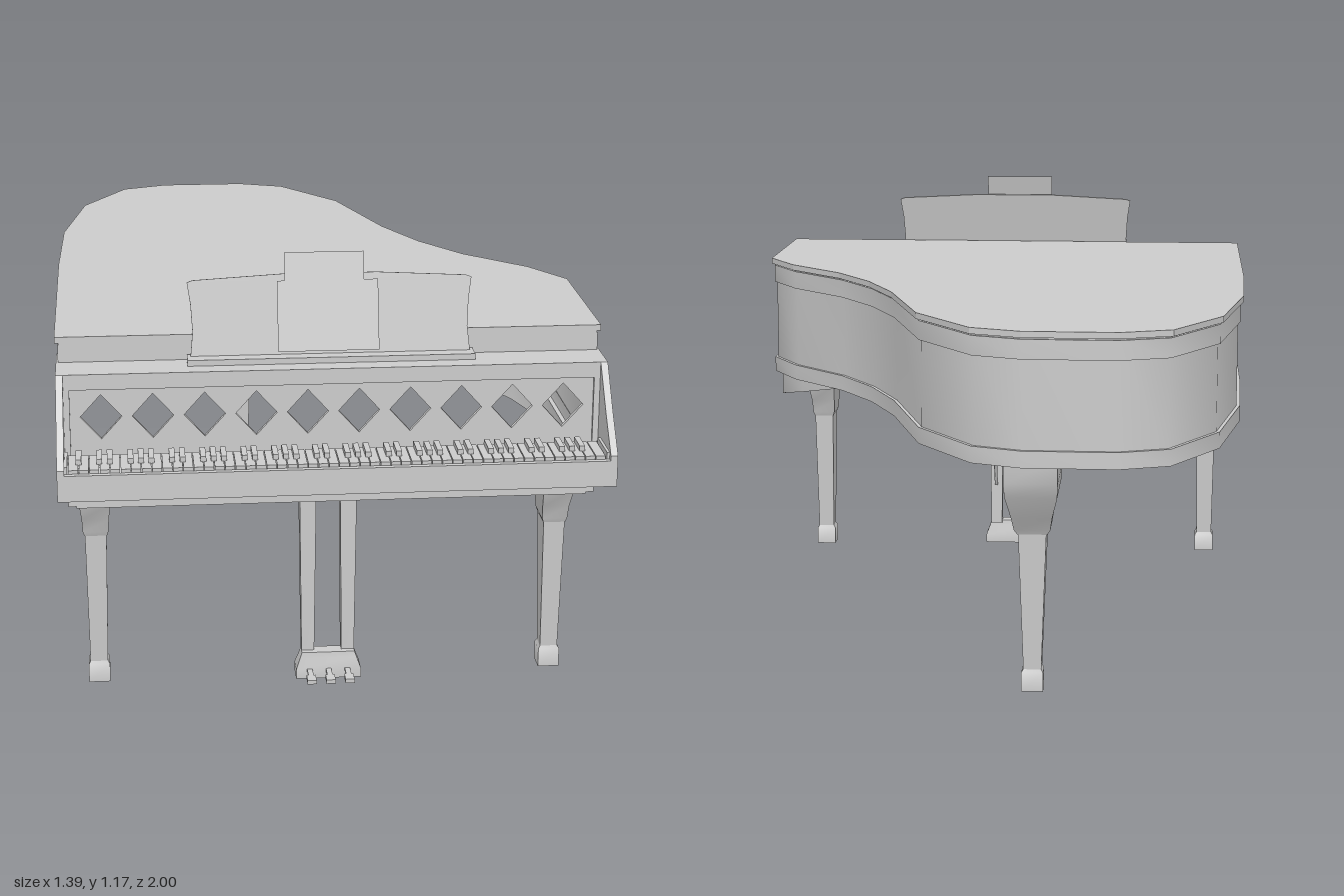
import * as THREE from 'three';
import { toCreasedNormals } from 'three/addons/utils/BufferGeometryUtils.js';

const mat = new THREE.MeshStandardMaterial({ color: 0xcccccc, side: THREE.DoubleSide });

// Case outline [x, z], from the front right corner round the tail to the front left corner
const OUTLINE = [[-0.695, 0.73], [-0.695, 0], [-0.685, -0.38], [-0.625, -0.73], [-0.5, -0.95], [-0.37, -1],
  [-0.13, -1], [0, -0.95], [0.155, -0.73], [0.26, -0.38], [0.345, -0.19], [0.45, -0.03], [0.61, 0.13],
  [0.695, 0.27], [0.695, 0.73]];

// Move an open path inwards by d with mitred corners
function inset(path, d) {
  const normal = (a, b) => new THREE.Vector2(b[1] - a[1], a[0] - b[0]).normalize();
  return path.map((p, i) => {
    const n0 = normal(path[Math.max(i - 1, 0)], path[Math.max(i, 1)]);
    const last = path.length - 1;
    const n1 = normal(path[Math.min(i, last - 1)], path[Math.min(i + 1, last)]);
    const m = n0.clone().add(n1).normalize();
    const k = d / m.dot(n0);
    return [p[0] - m.x * k, p[1] - m.y * k];
  });
}

// Skin a list of rings of equal length, with closed ends
function skin(rings) {
  const n = rings[0].length, idx = [];
  rings.slice(1).forEach((_, i) => {
    for (let j = 0; j < n; j++) {
      const a = i * n + j, b = i * n + (j + 1) % n;
      idx.push(a, b, b + n, a, b + n, a + n);
    }
  });
  const e = (rings.length - 1) * n;
  for (let j = 1; j < n - 1; j++) idx.push(0, j + 1, j, e, e + j, e + j + 1);
  const g = new THREE.BufferGeometry();
  g.setAttribute('position', new THREE.Float32BufferAttribute(rings.flat(2), 3));
  g.setIndex(idx);
  return toCreasedNormals(g, 0.72);
}

// Upright wall following a path; its bottom may vary with z
function wall(path, d, thick, bottom, top) {
  const outer = inset(path, d), inner = inset(path, d + thick);
  return skin(outer.map(([x, z], i) => {
    const [u, w] = inner[i], b = typeof bottom === 'function' ? bottom(path[i][1]) : bottom;
    return [[x, b, z], [x, top, z], [u, top, w], [u, b, w]];
  }));
}

// Rectangular column from levels [y, halfX, halfZ]
const column = (levels) => skin(levels.map(([y, a, b]) => [[-a, y, -b], [-a, y, b], [a, y, b], [a, y, -b]]));

const shapeOf = (pts) => new THREE.Shape(pts.map(([x, y]) => new THREE.Vector2(x, y)));
const extrude = (shape, depth) => new THREE.ExtrudeGeometry(shape, { depth, bevelEnabled: false });

export function createModel() {
  const model = new THREE.Group();
  const add = (name, geo, parent = model) => {
    const m = new THREE.Mesh(geo, mat);
    m.name = name;
    parent.add(m);
    return m;
  };
  const box = (name, x0, x1, y0, y1, z0, z1, parent) => add(name,
    new THREE.BoxGeometry(x1 - x0, y1 - y0, z1 - z0).translate((x0 + x1) / 2, (y0 + y1) / 2, (z0 + z1) / 2), parent);
  const group = (name) => {
    const g = new THREE.Group();
    g.name = name;
    model.add(g);
    return g;
  };

  // Lid
  add('lid', extrude(shapeOf(OUTLINE.map(([x, z]) => [x, -z])), 0.016).rotateX(-Math.PI / 2).translate(0, 0.95, 0));

  // Rim: recessed wall between an upper and a lower moulding
  const rim = group('rim');
  add('rimPanel', wall(OUTLINE, 0.014, 0.02, 0.64, 0.95), rim);
  add('upperMoulding', wall(OUTLINE, 0.008, 0.015, 0.895, 0.945), rim);
  add('lowerMoulding', wall(OUTLINE, 0.005, 0.03, 0.625, 0.668), rim);

  // Side skirts, curving down below the rim towards the front
  const profile = [[-0.1, 0.625], [0, 0.622], [0.15, 0.58], [0.3, 0.55], [0.56, 0.525], [0.75, 0.54], [0.83, 0.55]];
  const skirtBottom = (z) => {
    const i = Math.max(1, profile.findIndex((p) => p[0] >= z));
    const [a, b] = [profile[i - 1], profile[i]];
    return a[1] + (b[1] - a[1]) * (z - a[0]) / (b[0] - a[0]);
  };
  add('rightSkirt', wall([0.83, 0.75, 0.56, 0.3, 0.15, 0].map((z) => [-0.695, z]), 0.025, 0.022, skirtBottom, 0.63));
  add('leftSkirt', wall([[0.48, 0], [0.61, 0.13], [0.695, 0.27], [0.695, 0.56], [0.695, 0.75], [0.695, 0.83]],
    0.025, 0.022, skirtBottom, 0.63));

  // Cheeks at both ends of the keyboard
  const cheek = shapeOf([[-0.65, 0.625], [-1, 0.625], [-1, 0.705], [-0.925, 0.79], [-0.84, 0.9], [-0.65, 0.9]]);
  for (const [name, x] of [['rightCheek', -0.692], ['leftCheek', 0.674]]) {
    add(name, extrude(cheek, 0.018).rotateY(Math.PI / 2).translate(x, 0, 0));
  }

  // Front of the case
  box('lidFrontRail', -0.685, 0.685, 0.9, 0.95, 0.71, 0.73);
  box('shelf', -0.675, 0.675, 0.882, 0.9, 0.71, 0.84);
  box('fasciaRail', -0.675, 0.675, 0.86, 0.9, 0.815, 0.84);
  box('keybed', -0.675, 0.675, 0.625, 0.678, 0.83, 0.99);
  box('keySlip', -0.675, 0.675, 0.625, 0.692, 0.985, 1);
  box('apron', -0.65, 0.65, 0.545, 0.626, 0.8, 0.83);

  // Fretwork panel with diamond openings
  const fret = shapeOf([[-0.675, 0.67], [0.675, 0.67], [0.675, 0.862], [-0.675, 0.862]]);
  for (let i = 0; i < 10; i++) {
    const x = (i - 4.5) * 0.1293, y = 0.787;
    fret.holes.push(new THREE.Path([[x - 0.052, y], [x, y + 0.058], [x + 0.052, y], [x, y - 0.058]]
      .map((p) => new THREE.Vector2(...p))));
  }
  add('fretworkPanel', extrude(fret, 0.012).translate(0, 0, 0.82));
  for (const s of [-1, 1]) box('fretworkStile', s * 0.667 - 0.008, s * 0.667 + 0.008, 0.69, 0.862, 0.83, 0.84);

  // Keys: 52 naturals, with sharps in the pattern of the octave starting on A
  const keys = group('keys'), pitch = 1.33 / 52;
  box('keyEndBlock', -0.675, -0.667, 0.67, 0.71, 0.87, 0.985, keys);
  box('keyEndBlock', 0.667, 0.675, 0.67, 0.71, 0.87, 0.985, keys);
  for (let i = 0; i < 52; i++) {
    const x = -0.665 + i * pitch;
    box('whiteKey', x + 0.001, x + pitch - 0.001, 0.676, 0.7, 0.868, 0.982, keys);
    if (i < 51 && ![1, 4].includes(i % 7)) {
      box('blackKey', x + pitch - 0.007, x + pitch + 0.007, 0.69, 0.713, 0.868, 0.94, keys);
    }
  }

  // Music desk: ledge, tilted back board and loose sheets
  const desk = group('musicDesk');
  box('deskLedge', -0.363, 0.363, 0.9, 0.915, 0.735, 0.79, desk);
  const half = [[0.355, 0], [0.348, 0.07], [0.352, 0.14], [0.36, 0.195], [0.345, 0.2], [0.12, 0.212]];
  const board = add('deskBoard', extrude(shapeOf([...half, ...half.map(([x, y]) => [-x, y]).reverse()]), 0.006), desk);
  board.position.set(0, 0.905, 0.75);
  board.rotation.x = -0.2;
  const sheet = (name, x0, x1, y0, y1, z) => {
    const m = add(name, new THREE.PlaneGeometry(x1 - x0, y1 - y0).translate((x0 + x1) / 2, (y0 + y1) / 2, 0), desk);
    m.position.set(0, 0.93, z);
    m.rotation.x = -0.26;
  };
  sheet('frontSheet', -0.135, 0.12, 0, 0.178, 0.783);
  sheet('backSheet', -0.115, 0.085, 0, 0.248, 0.78);

  // Legs: square foot, tapered shaft and flared capital
  const leg = (name, x, z, shaft, capital) => {
    const g = group(name);
    g.position.set(x, 0, z);
    add('foot', column([[0, 0.028, 0.028], [0.05, 0.028, 0.028], [0.058, 0.023, 0.023]]), g);
    add('shaft', column([[0.055, 0.023, 0.023], [0.425, ...shaft]]), g);
    add('capital', column(capital), g);
  };
  const frontCapital = [[0.42, 0.029, 0.045], [0.432, 0.033, 0.05], [0.47, 0.035, 0.06], [0.525, 0.04, 0.095],
    [0.63, 0.045, 0.11]];
  leg('frontRightLeg', -0.605, 0.655, [0.028, 0.044], frontCapital);
  leg('frontLeftLeg', 0.597, 0.655, [0.028, 0.044], frontCapital);
  leg('backLeg', -0.15, -0.803, [0.036, 0.043], [[0.42, 0.038, 0.044], [0.432, 0.046, 0.05], [0.47, 0.052, 0.075],
    [0.53, 0.066, 0.11], [0.57, 0.068, 0.128], [0.63, 0.068, 0.132]]);

  // Pedal lyre hung from a cross beam and braced by two rods
  const lyre = group('pedalLyre');
  box('lyreBeam', -0.3, 0.3, 0.545, 0.575, 0.65, 0.7, lyre);
  box('braceBeam', -0.3, 0.3, 0.53, 0.56, 0.46, 0.5, lyre);
  for (const s of [-1, 1]) {
    const post = add('lyrePost', column([[0.07, 0.017, 0.018], [0.09, 0.017, 0.018], [0.55, 0.022, 0.022]]), lyre);
    post.position.set(s * 0.053, 0, 0.675);
    const path = new THREE.LineCurve3(new THREE.Vector3(s * 0.053, 0.2, 0.64), new THREE.Vector3(s * 0.053, 0.535, 0.478));
    add('braceRod', new THREE.TubeGeometry(path, 1, 0.005, 6), lyre);
  }
  const pedalBox = add('pedalBox', column([[0.005, 0.086, 0.03], [0.03, 0.086, 0.03], [0.06, 0.075, 0.022],
    [0.075, 0.07, 0.02]]), lyre);
  pedalBox.position.z = 0.69;
  for (const x of [-0.05, 0, 0.05]) {
    box('pedalArm', x - 0.007, x + 0.007, 0.024, 0.032, 0.71, 0.765, lyre);
    box('pedalTip', x - 0.012, x + 0.012, 0.022, 0.033, 0.76, 0.795, lyre);
  }
  return model;
}
